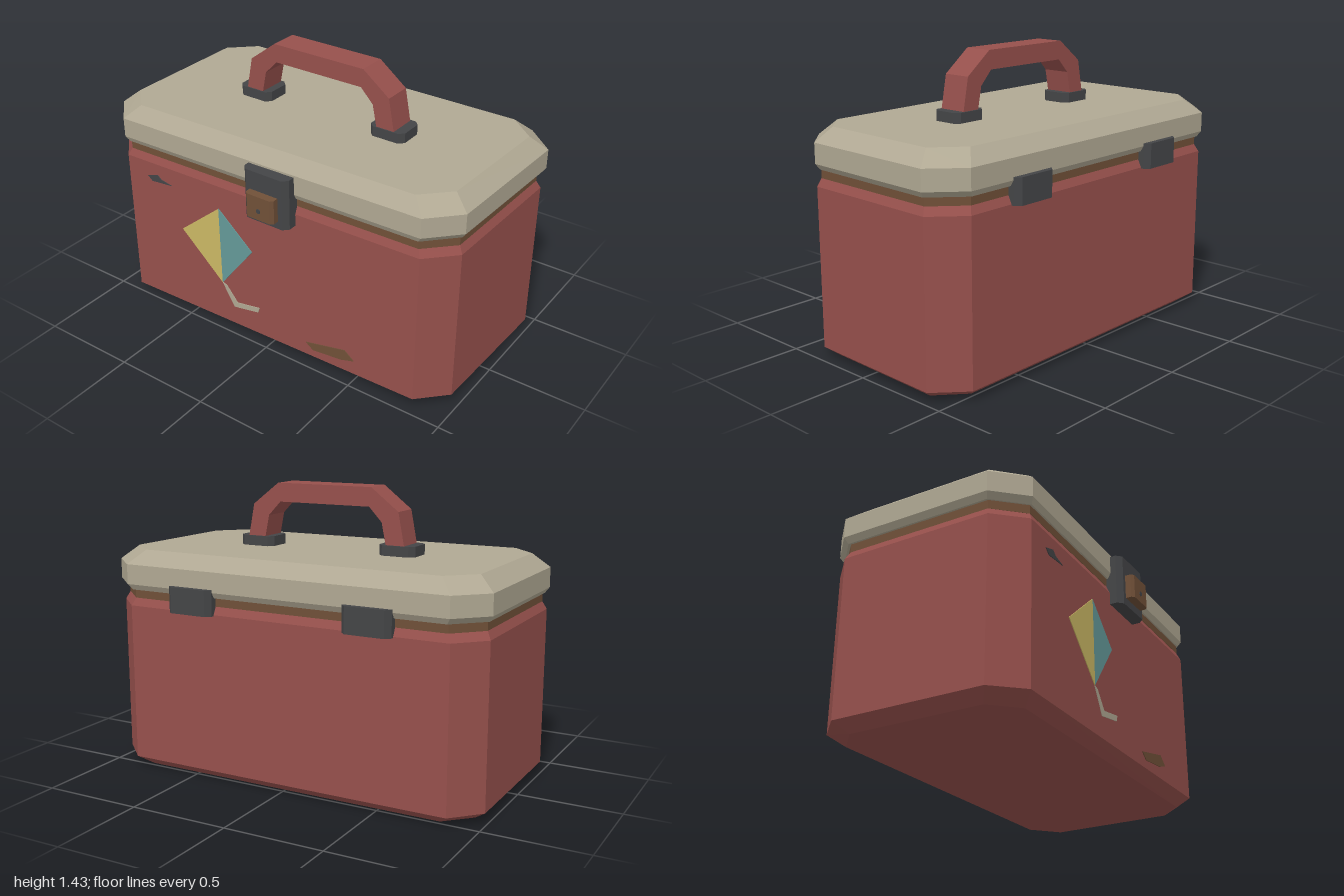
import * as THREE from 'three';

const material = (name, color, side = THREE.FrontSide) => {
  const m = new THREE.MeshStandardMaterial({ color, flatShading: true, side });
  m.name = name;
  return m;
};

// Stack of scaled copies of one outline [[x, z], ...]; rings are [y, scaleX, scaleZ]
function loft(outline, rings) {
  const n = outline.length;
  const pos = [];
  const pt = (r, i) => [outline[i % n][0] * r[1], r[0], outline[i % n][1] * r[2]];
  const tri = (a, b, c) => pos.push(...a, ...b, ...c);
  for (let k = 0; k < rings.length - 1; k++) {
    const lo = rings[k], hi = rings[k + 1];
    for (let i = 0; i < n; i++) {
      tri(pt(lo, i), pt(hi, i), pt(hi, i + 1));
      tri(pt(lo, i), pt(hi, i + 1), pt(lo, i + 1));
    }
  }
  const bottom = rings[0], top = rings[rings.length - 1];
  for (let i = 1; i < n - 1; i++) {
    tri(pt(bottom, 0), pt(bottom, i), pt(bottom, i + 1));
    tri(pt(top, 0), pt(top, i + 1), pt(top, i));
  }
  const g = new THREE.BufferGeometry();
  g.setAttribute('position', new THREE.Float32BufferAttribute(pos, 3));
  g.computeVertexNormals();
  return g;
}

// Block with chamfered vertical edges
function block(x0, x1, y0, y1, z0, z1, c) {
  const outline = [
    [x0 + c, z0], [x1 - c, z0], [x1, z0 + c], [x1, z1 - c],
    [x1 - c, z1], [x0 + c, z1], [x0, z1 - c], [x0, z0 + c],
  ];
  return loft(outline, [[y0, 1, 1], [y1, 1, 1]]);
}

function plate(points, depth) {
  const shape = new THREE.Shape(points.map(([x, y]) => new THREE.Vector2(x, y)));
  return new THREE.ExtrudeGeometry(shape, { depth, bevelEnabled: false });
}

export function createModel() {
  const root = new THREE.Group();
  root.name = 'lunchBox';

  const red = material('red', 0x96504c);
  const cream = material('cream', 0xb0a893);
  const dark = material('darkMetal', 0x444547);
  const brown = material('brown', 0x705038);
  const yellow = material('yellow', 0xcbb864);
  const teal = material('teal', 0x659a99);

  const add = (name, geometry, mat, parent = root) => {
    const mesh = new THREE.Mesh(geometry, mat);
    mesh.name = name;
    parent.add(mesh);
    return mesh;
  };

  // Slightly skewed eight-sided outlines
  const bodyOutline = [
    [-0.86, -0.545], [0.84, -0.545], [0.985, -0.41], [0.965, 0.32],
    [0.832, 0.455], [-0.86, 0.497], [-0.99, 0.36], [-0.99, -0.41],
  ];
  const lidOutline = [
    [-0.86, -0.556], [0.85, -0.556], [1.0, -0.417], [0.973, 0.317],
    [0.834, 0.462], [-0.861, 0.505], [-1.0, 0.36], [-1.0, -0.417],
  ];

  add('body', loft(bodyOutline, [
    [0, 0.934, 0.878], [0.05, 1, 1], [0.835, 1, 1], [0.873, 0.98, 0.965],
  ]), red);
  add('seamBand', loft(bodyOutline, [[0.873, 0.98, 0.968], [0.917, 0.98, 0.968]]), brown);
  add('lid', loft(lidOutline, [
    [0.915, 0.98, 0.97], [0.943, 1, 1], [1.042, 1, 1], [1.11, 0.92, 0.875],
  ]), cream);

  // Handle: a bent strap between two feet
  const half = [[0.433, 1.15], [0.4, 1.32], [0.257, 1.43]];
  const inner = [[0.246, 1.337], [0.313, 1.267], [0.337, 1.15]];
  const mirror = (pts) => pts.map(([x, y]) => [-x, y]).reverse();
  const strap = plate([...half, ...mirror(half), ...mirror(inner), ...inner], 0.145);
  add('handle', strap, red).position.z = -0.096;
  for (const [side, x0] of [['left', 0.294], ['right', -0.482]]) {
    add(`${side}HandleFoot`, block(x0, x0 + 0.188, 1.1, 1.16, -0.104, 0.055, 0.025), dark);
  }

  // Hinges on the back
  for (const [side, x0] of [['left', 0.348], ['right', -0.594]]) {
    add(`${side}Hinge`, block(x0, x0 + 0.246, 0.83, 0.957, -0.585, -0.47, 0.025), dark);
  }

  // Front latch
  add('latchPlate', block(-0.08, 0.176, 0.774, 1.032, 0.42, 0.54, 0.026), dark);
  add('latchLock', block(-0.032, 0.128, 0.813, 0.935, 0.5, 0.582, 0.014), brown);
  const keyhole = add('keyhole', new THREE.CylinderGeometry(0.013, 0.013, 0.006, 6), dark);
  keyhole.rotation.x = Math.PI / 2;
  keyhole.position.set(0.048, 0.86, 0.582);

  // Painted details lying on the slanted front panel
  const paint = new THREE.Group();
  paint.name = 'frontPaint';
  paint.position.z = 0.4735;
  paint.rotation.y = 0.0248;
  root.add(paint);
  const top = [-0.283, 0.711], low = [-0.28, 0.278];
  add('kiteYellowHalf', plate([top, [-0.524, 0.513], low], 0.006), yellow, paint);
  add('kiteTealHalf', plate([top, low, [-0.086, 0.529]], 0.006), teal, paint);
  add('kiteTail', plate([
    low, [-0.21, 0.155], [-0.06, 0.18], [-0.05, 0.21], [-0.19, 0.187], [-0.255, 0.27],
  ], 0.006), cream, paint);
  add('scratch', plate([
    [-0.733, 0.757], [-0.705, 0.733], [-0.58, 0.743], [-0.647, 0.757], [-0.67, 0.777],
  ], 0.006), dark, paint);
  add('wornPatch', plate([
    [0.23, 0.123], [0.273, 0.091], [0.438, 0.107], [0.508, 0.128], [0.455, 0.171],
  ], 0.006), brown, paint);

  return root;
}
